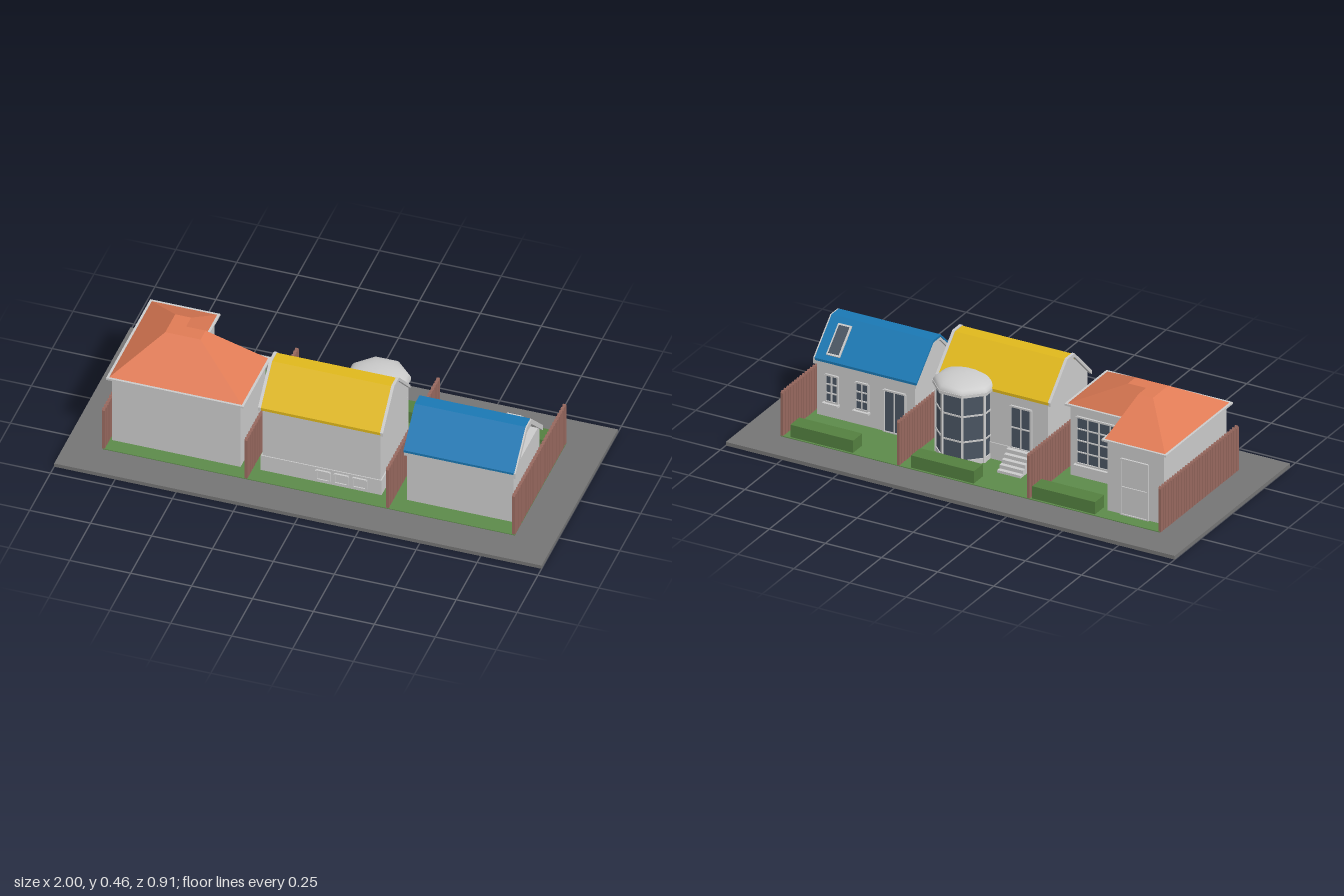
import * as THREE from 'three';

const mat = (color) => new THREE.MeshStandardMaterial({ color, flatShading: true });
const GREY = mat(0xcccccc), GROUND = mat(0x757575), LAWN = mat(0x5c8a4a), HEDGE = mat(0x548040);
const WOOD = mat(0x9a6a60), ORANGE = mat(0xe07b55), YELLOW = mat(0xe0b81c), BLUE = mat(0x1a78b4);
const GLASS = mat(0x4a5562), DARK = mat(0x303030);

function add(parent, name, geo, material = GREY) {
  const m = new THREE.Mesh(geo, material);
  m.name = name;
  parent.add(m);
  return m;
}

// Box given by its limits on each axis
function box(parent, name, x0, x1, y0, y1, z0, z1, material) {
  const m = add(parent, name, new THREE.BoxGeometry(x1 - x0, y1 - y0, z1 - z0), material);
  m.position.set((x0 + x1) / 2, (y0 + y1) / 2, (z0 + z1) / 2);
  return m;
}

function group(parent, name) {
  const g = new THREE.Group();
  g.name = name;
  parent.add(g);
  return g;
}

// Profile of [z, y] points pushed along x from x0 to x1
function alongX(parent, name, pts, x0, x1, material) {
  const shape = new THREE.Shape(pts.map(([z, y]) => new THREE.Vector2(-z, y)));
  const geo = new THREE.ExtrudeGeometry(shape, { depth: x1 - x0, bevelEnabled: false });
  geo.rotateY(Math.PI / 2).translate(x0, 0, 0);
  return add(parent, name, geo, material);
}

// Floor plan of [x, z] points raised from y0 to y1
function upward(parent, name, pts, y0, y1, material) {
  const shape = new THREE.Shape(pts.map(([x, z]) => new THREE.Vector2(x, -z)));
  const geo = new THREE.ExtrudeGeometry(shape, { depth: y1 - y0, bevelEnabled: false });
  geo.rotateX(-Math.PI / 2).translate(0, y0, 0);
  return add(parent, name, geo, material);
}

// Bent roof band with a flat ridge, t thick, lifted by dy
function roofBand(eave, top, t, dy = 0) {
  const outer = [[0.243, eave], [0.107, top], [0.05, top], [-0.085, eave]].map(([z, y]) => [z, y + dy]);
  return [...outer, ...outer.map(([z, y]) => [z, y - t]).reverse()];
}

// Framed window or door, facing -z at the origin, standing on y = 0
function opening(parent, name, w, h, cols, rows, { fill = GLASS, sill = true } = {}) {
  const g = group(parent, name);
  const f = 0.007;
  box(g, 'pane', -w / 2, w / 2, 0, h, -0.003, 0.002, fill);
  for (let i = 0; i <= cols; i++) {
    const x = -w / 2 + (w * i) / cols, b = i % cols ? f / 3 : f / 2;
    box(g, 'upright', x - b, x + b, 0, h, -0.008, 0.002);
  }
  for (let j = 0; j <= rows; j++) {
    const y = (h * j) / rows, b = j % rows ? f / 3 : f / 2;
    box(g, 'crossbar', -w / 2, w / 2, y - b, y + b, -0.008, 0.002);
  }
  if (sill) box(g, 'sill', -w / 2 - 0.008, w / 2 + 0.008, -0.012, -0.003, -0.02, 0.002);
  return g;
}

// Two matching loops joined by sloping faces and capped with a flat top
function hipRoof(parent, low, high, y0, y1) {
  const pos = [], n = low.length;
  const put = ([x, z], y) => pos.push(x, y, z);
  for (let i = 0; i < n; i++) {
    const j = (i + 1) % n;
    put(low[i], y0); put(low[j], y0); put(high[j], y1);
    put(low[i], y0); put(high[j], y1); put(high[i], y1);
  }
  const flat = high.map(([x, z]) => new THREE.Vector2(x, -z));
  for (const tri of THREE.ShapeUtils.triangulateShape(flat, [])) tri.forEach((k) => put(high[k], y1));
  const geo = new THREE.BufferGeometry();
  geo.setAttribute('position', new THREE.Float32BufferAttribute(pos, 3));
  geo.computeVertexNormals();
  return add(parent, 'hipRoof', geo, ORANGE);
}

// L-shaped plan, grown outward by e
const lPlan = (e) => [
  [-0.835 - e, 0.247 + e], [-0.307 + e, 0.247 + e], [-0.307 + e, -0.05 - e],
  [-0.583 + e, -0.05 - e], [-0.583 + e, -0.247 - e], [-0.835 - e, -0.247 - e],
];

function hipHouse(root) {
  const g = group(root, 'hipRoofHouse');
  upward(g, 'walls', lPlan(0), 0.017, 0.325);
  upward(g, 'eaves', lPlan(0.018), 0.323, 0.331);
  hipRoof(g, lPlan(0.008), [
    [-0.68, 0.06], [-0.535, 0.06], [-0.535, 0], [-0.615, 0], [-0.615, -0.06], [-0.68, -0.06],
  ], 0.331, 0.45);
  opening(g, 'wingDoor', 0.12, 0.24, 1, 2, { fill: GREY, sill: false }).position.set(-0.705, 0.02, -0.247);
  opening(g, 'gardenWindow', 0.2, 0.2, 4, 4).position.set(-0.437, 0.08, -0.05);
}

function turretHouse(root) {
  const g = group(root, 'turretHouse');
  alongX(g, 'walls', [[0.235, 0.017], [0.235, 0.322], [0.106, 0.448], [0.051, 0.448], [-0.077, 0.322], [-0.077, 0.017]],
    -0.222, 0.264);
  box(g, 'plinth', -0.227, 0.269, 0.017, 0.09, -0.081, 0.239);
  alongX(g, 'roof', roofBand(0.326, 0.456, 0.012), -0.228, 0.268, YELLOW);
  for (const x of [-0.237, 0.264]) alongX(g, 'gableTrim', roofBand(0.322, 0.456, 0.016, 0.004), x, x + 0.012);
  // Basement windows on the street side
  for (const x of [0.03, 0.105, 0.18]) {
    const w = opening(g, 'basementWindow', 0.055, 0.042, 1, 1, { fill: GREY, sill: false });
    w.position.set(x, 0.035, 0.239);
    w.rotation.y = Math.PI;
  }
  // Garden door and steps
  opening(g, 'gardenDoor', 0.09, 0.18, 2, 2, { sill: false }).position.set(-0.103, 0.09, -0.077);
  for (let i = 0; i < 5; i++) {
    box(g, 'step', -0.155, -0.05, 0.017, 0.03 + i * 0.015, -0.175 + i * 0.018, -0.07);
  }
  // Octagonal glazed turret with a shallow dome
  const t = group(g, 'turret');
  t.position.set(0.143, 0, -0.08);
  const k = 1 / Math.cos(Math.PI / 8);
  const octagon = (name, r, y0, y1, m) => {
    const geo = new THREE.CylinderGeometry(r * k, r * k, y1 - y0, 8, 1, false, Math.PI / 8);
    add(t, name, geo, m).position.y = (y0 + y1) / 2;
  };
  octagon('glazing', 0.107, 0.017, 0.322, GLASS);
  octagon('base', 0.111, 0.017, 0.04);
  for (const y of [0.115, 0.225]) octagon('band', 0.11, y, y + 0.007);
  octagon('cornice', 0.121, 0.315, 0.327);
  for (let i = 0; i < 8; i++) {
    const a = Math.PI / 8 + (i * Math.PI) / 4;
    const post = add(t, 'post', new THREE.BoxGeometry(0.01, 0.305, 0.01));
    post.position.set(Math.sin(a) * 0.107 * k, 0.17, Math.cos(a) * 0.107 * k);
    post.rotation.y = a;
  }
  const profile = [];
  for (let i = 0; i <= 8; i++) {
    const a = (i / 8) * Math.PI / 2;
    profile.push(new THREE.Vector2(Math.cos(a) * 0.119 * k, 0.327 + Math.sin(a) * 0.042));
  }
  const dome = new THREE.LatheGeometry(profile, 8, Math.PI / 8);
  add(t, 'dome', dome, new THREE.MeshStandardMaterial({ color: 0xcccccc, side: THREE.DoubleSide }));
}

function openGableHouse(root) {
  const g = group(root, 'openGableHouse');
  alongX(g, 'walls', [[0.235, 0.017], [0.235, 0.25], [0.22, 0.266], [-0.062, 0.266], [-0.077, 0.25], [-0.077, 0.017]],
    0.372, 0.808);
  // One gable is closed; the other leaves the attic open
  const gable = [[0.23, 0.25], [0.107, 0.374], [0.05, 0.374], [-0.073, 0.25]];
  alongX(g, 'gableWall', gable, 0.372, 0.38);
  alongX(g, 'gableLining', gable, 0.38, 0.382, DARK);
  alongX(g, 'roof', roofBand(0.265, 0.394, 0.01), 0.36, 0.814, BLUE);
  alongX(g, 'roofUnderside', roofBand(0.256, 0.385, 0.015), 0.362, 0.812);
  alongX(g, 'gableTrim', roofBand(0.264, 0.393, 0.025), 0.812, 0.82);
  // Skylight lying on the garden slope
  const s = group(g, 'skylight');
  box(s, 'frame', -0.03, 0.03, -0.004, 0.006, -0.068, 0.068);
  box(s, 'pane', -0.023, 0.023, 0, 0.008, -0.06, 0.06, GLASS);
  s.position.set(0.74, 0.328, -0.02);
  s.rotation.x = -Math.atan2(0.129, 0.135);
  for (const x of [0.74, 0.605]) opening(g, 'gardenWindow', 0.055, 0.115, 2, 3).position.set(x, 0.087, -0.077);
  opening(g, 'gardenDoor', 0.095, 0.18, 2, 1, { sill: false }).position.set(0.46, 0.02, -0.077);
  const side = opening(g, 'sideWindow', 0.035, 0.09, 1, 2);
  side.position.set(0.372, 0.072, 0.08);
  side.rotation.y = Math.PI / 2;
}

// Row of separate pointed pickets
function fence(root, x) {
  const g = group(root, 'fence');
  const count = 30, pitch = 0.62 / count, w = 0.0083;
  for (let i = 0; i < count; i++) {
    const z = -0.31 + pitch * (i + 0.5);
    alongX(g, 'picket', [[z + w, 0.017], [z + w, 0.203], [z + 0.003, 0.212], [z - 0.003, 0.212], [z - w, 0.203], [z - w, 0.017]],
      x - 0.006, x + 0.006, WOOD);
  }
}

export function createModel() {
  const root = new THREE.Group();
  root.name = 'terraceOfHouses';
  box(root, 'ground', -1, 1, 0, 0.016, -0.457, 0.457, GROUND);
  box(root, 'lawn', -0.85, 0.84, 0.01, 0.019, -0.31, 0.31, LAWN);
  hipHouse(root);
  turretHouse(root);
  openGableHouse(root);
  for (const x of [-0.849, -0.264, 0.316, 0.834]) fence(root, x);
  for (const x of [-0.418, 0.122, 0.66]) box(root, 'hedge', x - 0.14, x + 0.14, 0.017, 0.072, -0.302, -0.23, HEDGE);
  return root;
}
